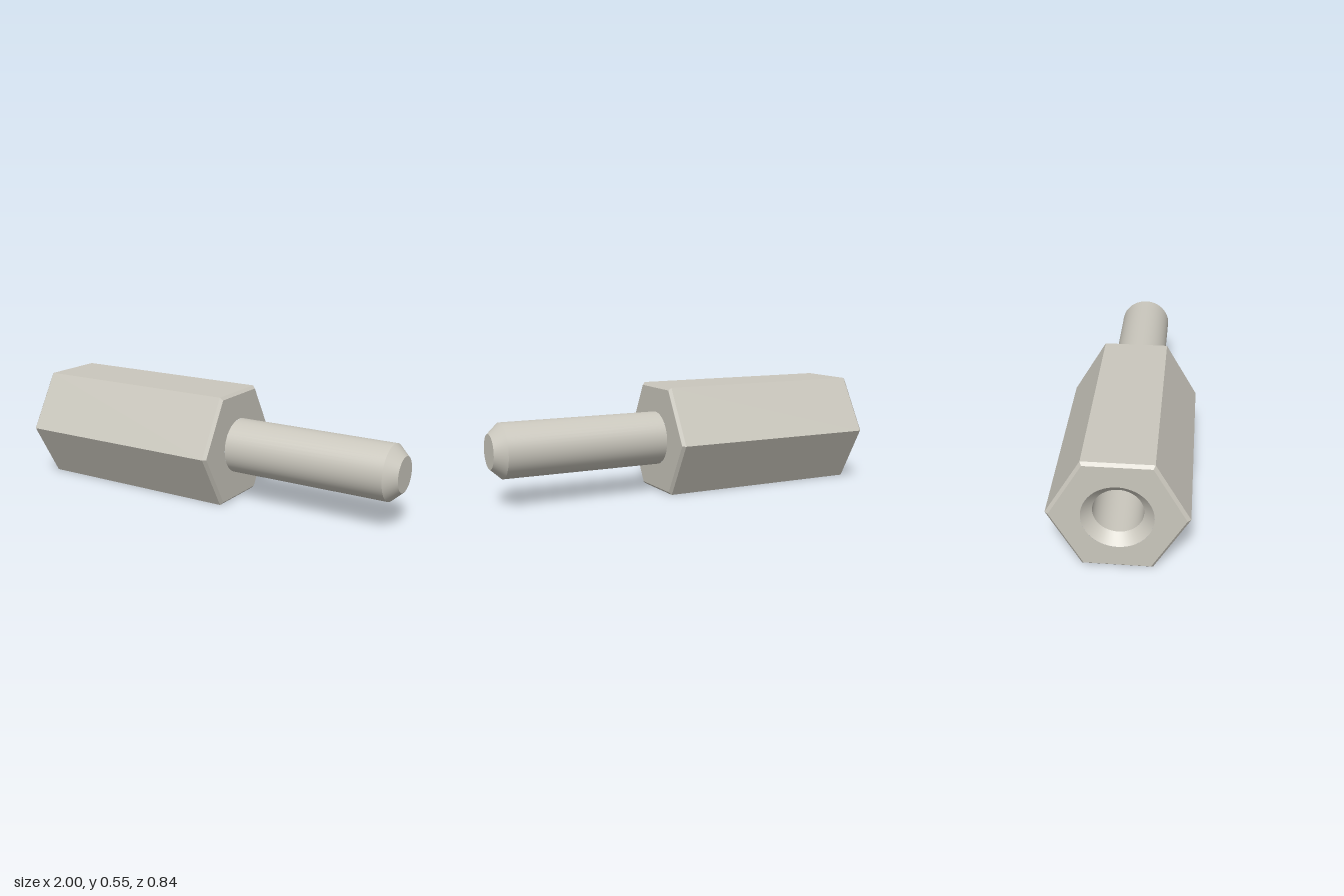
import * as THREE from 'three';
import { toCreasedNormals } from 'three/addons/utils/BufferGeometryUtils.js';

export function createModel() {
  const metal = new THREE.MeshStandardMaterial({ color: 0xcac7bd });
  metal.name = 'satin metal';

  const apothem = 0.2725, R = apothem / Math.cos(Math.PI / 6);
  const length = 1.09, total = 1.962, chamfer = 0.014;
  const studR = 0.1355, tipR = 0.085, tipLen = 0.056;
  const holeR = 0.113, sinkR = 0.16, holeDepth = 0.65;

  // Everything is built along local +z, then the group is turned
  const group = new THREE.Group();
  group.name = 'hexStandoff';
  const add = (name, geometry) => {
    const mesh = new THREE.Mesh(geometry, metal);
    mesh.name = name;
    group.add(mesh);
  };

  // Six-sided open sleeve between z0 and z1
  const hexSleeve = (name, r0, r1, z0, z1) => {
    const g = new THREE.CylinderGeometry(r1, r0, z1 - z0, 6, 1, true, Math.PI / 6);
    g.rotateX(Math.PI / 2).translate(0, 0, (z0 + z1) / 2);
    add(name, toCreasedNormals(g, 0.4));
  };
  const inner = R - chamfer * 1.1;
  hexSleeve('rearChamfer', inner, R, 0, chamfer);
  hexSleeve('hexBody', R, R, chamfer, length - chamfer);
  hexSleeve('shoulderChamfer', R, inner, length - chamfer, length);

  // Hexagonal end faces with a round opening
  const endFace = (name, opening, z, flip) => {
    const shape = new THREE.Shape();
    for (let i = 0; i < 6; i++) {
      const a = i * Math.PI / 3, x = inner * Math.cos(a), y = inner * Math.sin(a);
      if (i) shape.lineTo(x, y); else shape.moveTo(x, y);
    }
    shape.closePath();
    const hole = new THREE.Path();
    hole.absarc(0, 0, opening, 0, Math.PI * 2, true);
    shape.holes.push(hole);
    const g = new THREE.ShapeGeometry(shape, 48);
    if (flip) g.rotateY(Math.PI);
    g.translate(0, 0, z);
    add(name, g);
  };
  endFace('rearFace', sinkR, 0, true);
  endFace('shoulderFace', studR, length, false);

  // Turned parts from [radius, z] profiles
  const turned = (name, profile) => {
    const g = new THREE.LatheGeometry(profile.map(([r, z]) => new THREE.Vector2(r, z)), 48);
    g.rotateX(Math.PI / 2);
    add(name, toCreasedNormals(g, 0.4));
  };
  turned('stud', [[studR, length], [studR, total - tipLen], [tipR, total], [0, total]]);
  turned('countersunkHole', [[0, holeDepth], [holeR, holeDepth], [holeR, sinkR - holeR], [sinkR, 0]]);

  group.rotation.y = THREE.MathUtils.degToRad(90 - 12.05);
  group.position.set(-0.937, apothem, -0.115);

  const model = new THREE.Group();
  model.name = 'standoff';
  model.add(group);
  return model;
}
